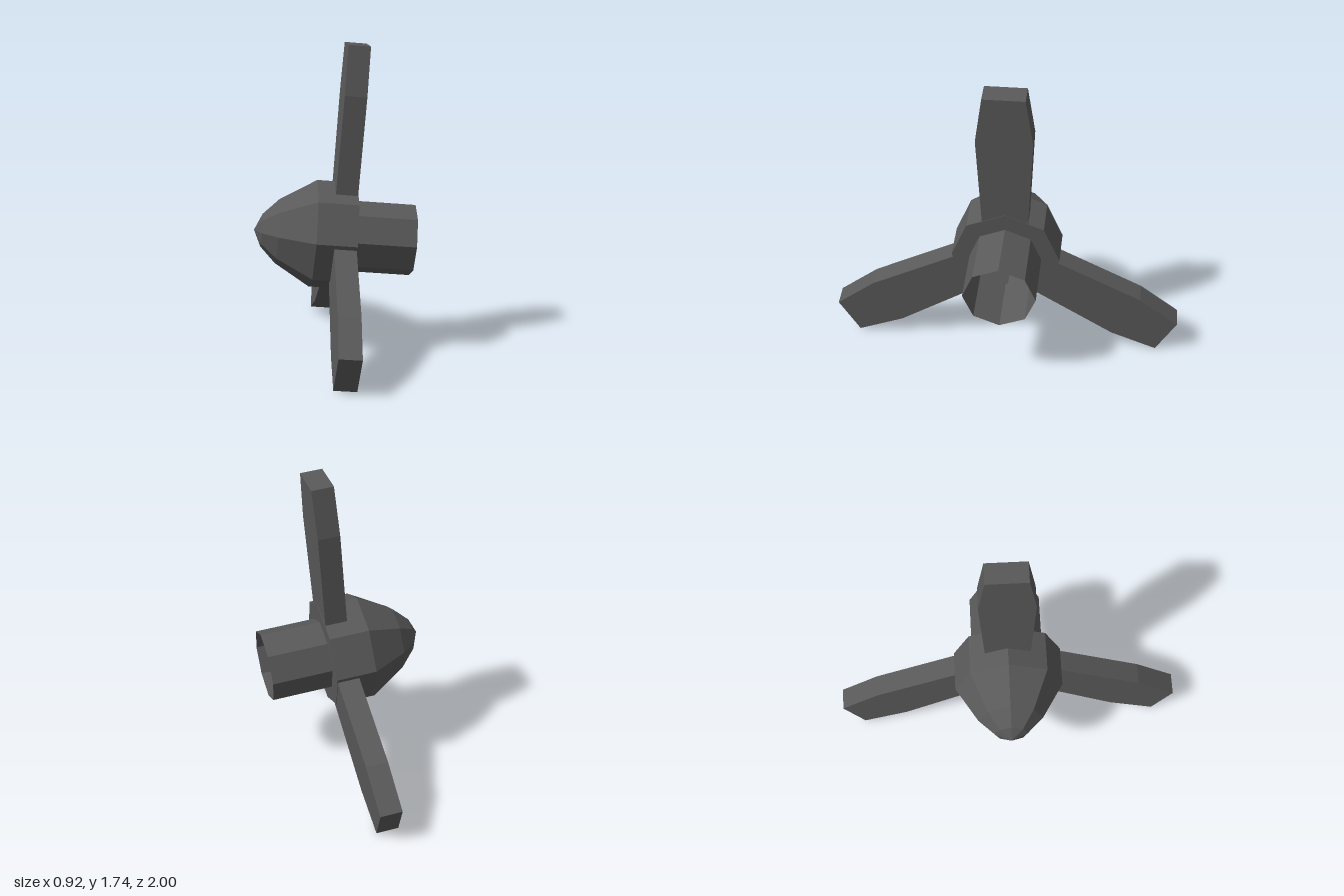
import * as THREE from 'three';

export function createModel() {
  const model = new THREE.Group();
  model.name = 'propeller';
  const darkGrey = new THREE.MeshStandardMaterial({ color: 0x595959, flatShading: true, side: THREE.DoubleSide });
  darkGrey.name = 'darkGrey';

  // Everything turns about the local x axis, which is pitched slightly nose-up
  const rotor = new THREE.Group();
  rotor.name = 'rotor';
  rotor.position.set(0.035, 0.648, 0);
  rotor.rotation.z = -0.0845;
  model.add(rotor);

  const add = (geometry, name) => {
    const mesh = new THREE.Mesh(geometry, darkGrey);
    mesh.name = name;
    rotor.add(mesh);
    return mesh;
  };

  // Eight-sided open shells: [radius, distance along the axis]
  const shell = (profile) =>
    new THREE.LatheGeometry(profile.map(([r, u]) => new THREE.Vector2(r, u)), 8).rotateZ(-Math.PI / 2);

  // Pointed nose cone with a ring-shaped back
  add(shell([[0, -0.497], [0.094, -0.455], [0.185, -0.366], [0.309, -0.162], [0.309, 0.065], [0.205, 0.065]]), 'spinner');

  // Hollow shaft, open at the rear
  add(shell([[0.205, 0.065], [0.205, 0.409]]), 'shaft');

  // Three flat blades, widest near the tip
  const thickness = 0.125;
  const outline = [[-0.13, 0.25], [0.13, 0.25], [0.157, 0.81], [0.117, 1.088], [-0.117, 1.088], [-0.157, 0.81]];
  const bladeGeometry = new THREE.ExtrudeGeometry(
    new THREE.Shape(outline.map(([w, r]) => new THREE.Vector2(w, r))),
    { depth: thickness, bevelEnabled: false }
  ).translate(0, 0, -thickness / 2).rotateY(Math.PI / 2);
  for (let i = 0; i < 3; i++) {
    add(bladeGeometry, 'blade' + (i + 1)).rotation.x = (i * 2 * Math.PI) / 3;
  }

  return model;
}
